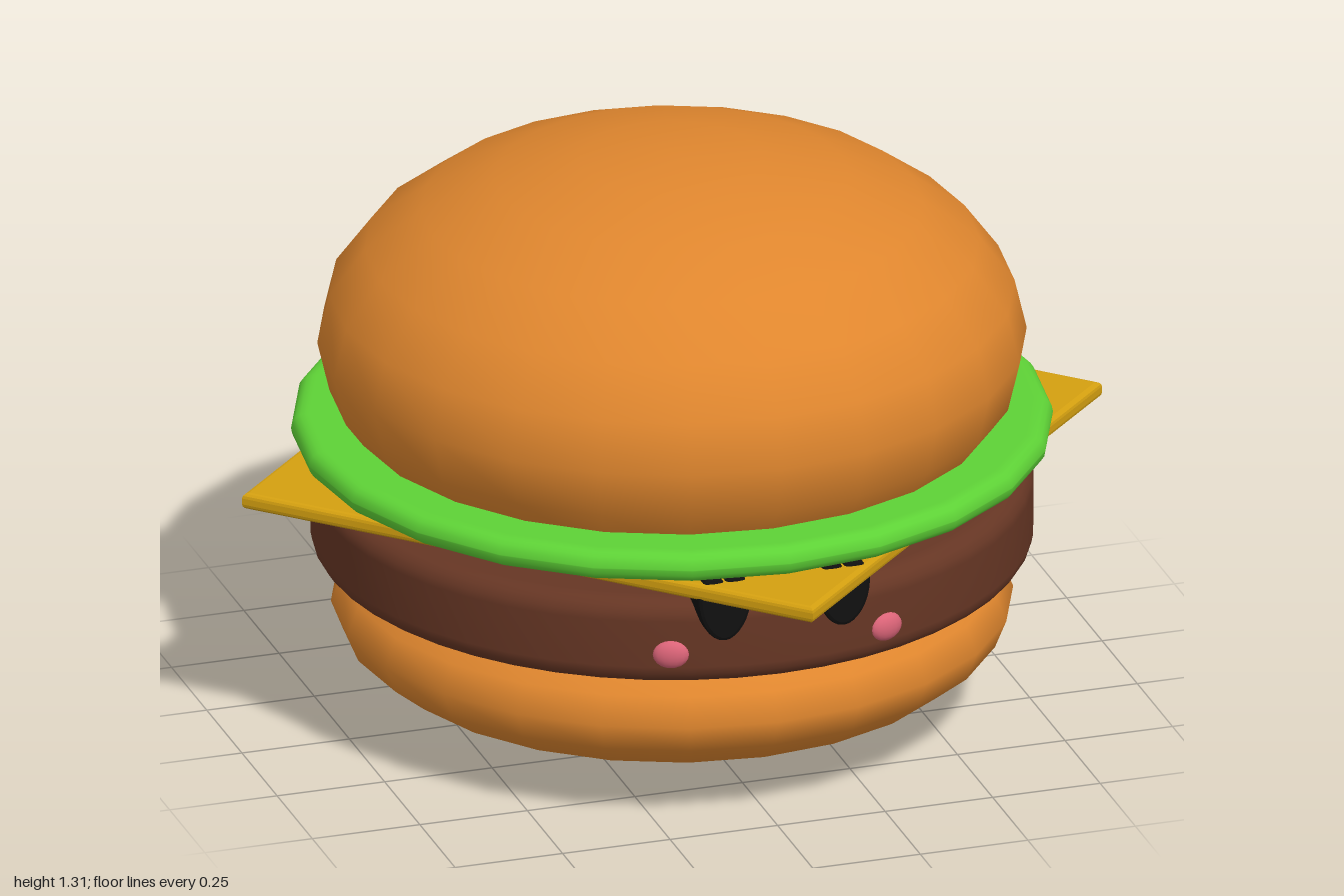
import * as THREE from 'three';

const mat = (name, color, extra = {}) => {
  const m = new THREE.MeshStandardMaterial({ color, ...extra });
  m.name = name;
  return m;
};

export function createModel() {
  const group = new THREE.Group();
  const bun = mat('toasted bun', 0xdf862e);
  const meat = mat('brown meat', 0x663624);
  const green = mat('lettuce green', 0x5ed236);
  const yellow = mat('cheese yellow', 0xd4a010);
  const black = mat('eye black', 0x101010);
  const pink = mat('cheek pink', 0xdb6478);

  const add = (name, geometry, material, x = 0, y = 0, z = 0) => {
    const mesh = new THREE.Mesh(geometry, material);
    mesh.name = name;
    mesh.position.set(x, y, z);
    group.add(mesh);
    return mesh;
  };

  // Disc with rounded rims, turned from a short profile
  const disc = (radius, bottom, top, bevel, sides) => {
    const pts = [new THREE.Vector2(0, bottom), new THREE.Vector2(radius - bevel - 0.01, bottom)];
    for (const [cy, start] of [[bottom + bevel, -90], [top - bevel, 0]]) {
      for (let i = 0; i <= 4; i++) {
        const a = THREE.MathUtils.degToRad(start + i * 22.5);
        const p = new THREE.Vector2(radius - bevel + bevel * Math.cos(a), cy + bevel * Math.sin(a));
        if (p.distanceTo(pts[pts.length - 1]) > 0.001) pts.push(p);
      }
    }
    pts.push(new THREE.Vector2(radius - bevel - 0.01, top), new THREE.Vector2(0, top));
    return new THREE.LatheGeometry(pts, sides);
  };

  // Buns: flattened spheres
  add('bottomBun', new THREE.SphereGeometry(1, 24, 12).scale(0.755, 0.25, 0.755), bun, 0, 0.258, 0);
  add('topBun', new THREE.SphereGeometry(1, 24, 12).scale(0.785, 0.442, 0.785), bun, 0, 0.88, 0);

  // Fillings
  add('patty', disc(0.8, 0.38, 0.58, 0.045, 48), meat);
  add('lettuce', disc(0.843, 0.642, 0.71, 0.033, 24), green);

  // Cheese slice: a square on its corner with softened edges
  const b = 0.012, r = 1 - b * Math.SQRT2;
  const square = new THREE.Shape([[r, 0], [0, r], [-r, 0], [0, -r]].map(([x, y]) => new THREE.Vector2(x, y)));
  const cheese = new THREE.ExtrudeGeometry(square, {
    depth: 0.014, bevelEnabled: true, bevelSize: b, bevelThickness: b, bevelSegments: 3,
  });
  cheese.rotateX(-Math.PI / 2);
  add('cheese', cheese, yellow, 0, 0.607, 0);

  // Heart-shaped eye, drawn around its middle
  const heart = new THREE.Shape();
  heart.moveTo(0, 0.045);
  heart.bezierCurveTo(0.008, 0.075, 0.054, 0.075, 0.054, 0.028);
  heart.bezierCurveTo(0.054, -0.025, 0.025, -0.068, 0, -0.068);
  heart.bezierCurveTo(-0.025, -0.068, -0.054, -0.025, -0.054, 0.028);
  heart.bezierCurveTo(-0.054, 0.075, -0.008, 0.075, 0, 0.045);
  const eye = new THREE.ExtrudeGeometry(heart, {
    depth: 0.05, bevelEnabled: true, bevelSize: 0.009, bevelThickness: 0.01, bevelSegments: 2, curveSegments: 8,
  });
  const cheek = new THREE.SphereGeometry(1, 16, 10).scale(0.041, 0.033, 0.02);

  // Face on the front of the patty
  for (const [side, s] of [['left', 1], ['right', -1]]) {
    add(side + 'Eye', eye, black, s * 0.138, 0.568, 0.743);
    add(side + 'Cheek', cheek, pink, s * 0.25, 0.457, 0.756).rotation.y = s * 0.32;
  }
  return group;
}
